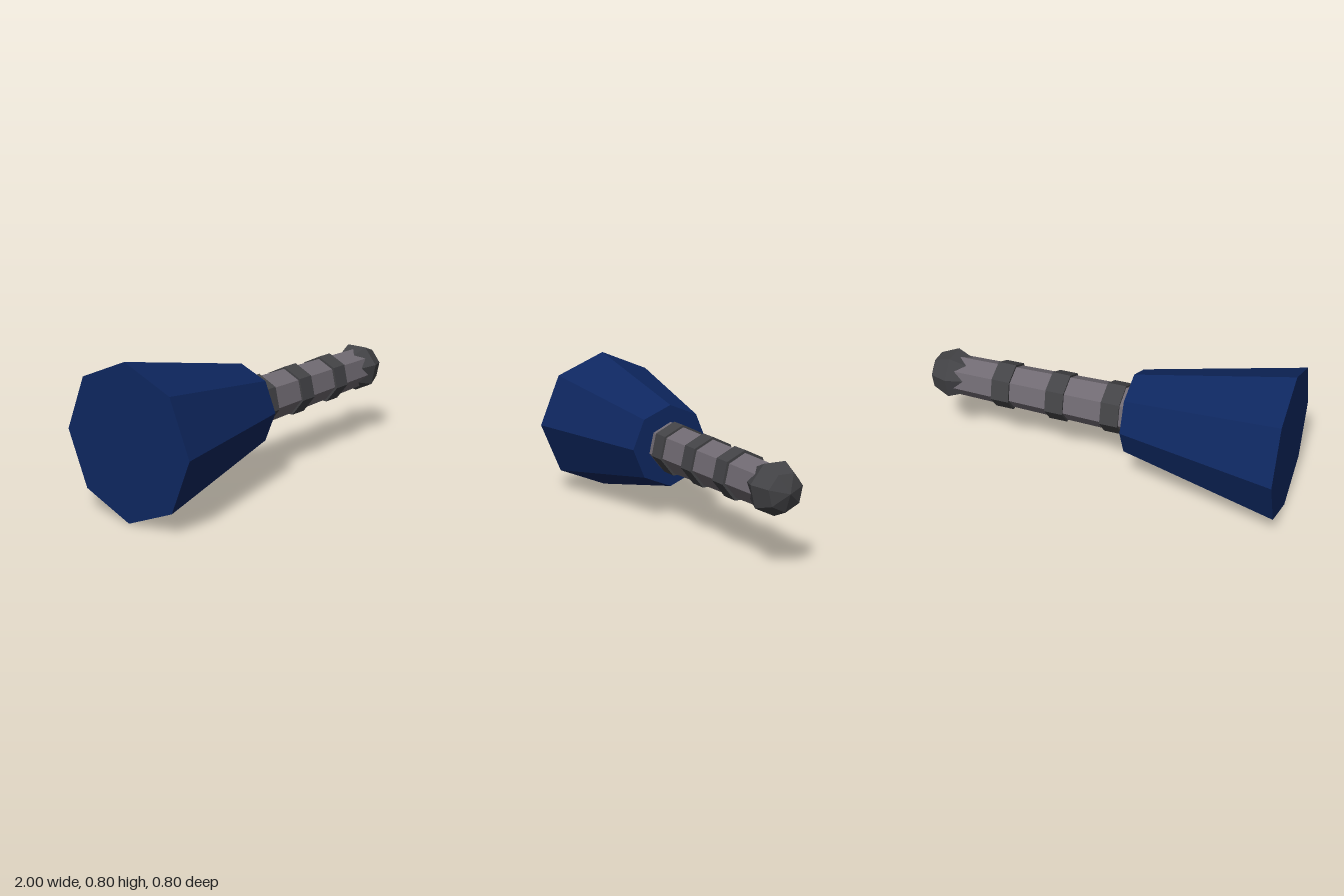
import * as THREE from 'three';

const AXIS_Y = 0.4;
const flat = (name, color) => {
  const m = new THREE.MeshStandardMaterial({ color, flatShading: true });
  m.name = name;
  return m;
};

export function createModel() {
  const blue = flat('navy blue', 0x0e2760);
  const grip = flat('warm grey', 0x706a72);
  const dark = flat('dark grey', 0x434346);
  const group = new THREE.Group();

  const add = (name, geometry, material, x) => {
    const mesh = new THREE.Mesh(geometry, material);
    mesh.name = name;
    mesh.position.set(x, AXIS_Y, 0);
    group.add(mesh);
  };

  // Tapered prism lying along x, with one corner pointing straight up
  const prism = (name, x0, x1, r0, r1, sides, material) => {
    const g = new THREE.CylinderGeometry(r1, r0, x1 - x0, sides);
    g.rotateY(-Math.PI / 2).rotateZ(-Math.PI / 2);
    add(name, g, material, (x0 + x1) / 2);
  };

  // Flared head
  prism('head', -1, -0.163, 0.398, 0.223, 8, blue);

  // Tapered handle, running through the head
  prism('handle', -0.995, 0.86, 0.148, 0.11, 7, grip);

  // Grip bands
  [[-0.07, 0.14], [0.24, 0.135], [0.55, 0.13]].forEach(([x, r], i) =>
    prism(`gripBand${i + 1}`, x - 0.05, x + 0.05, r, r, 7, dark));

  // End knob, with one corner pointing down
  const knob = new THREE.SphereGeometry(0.137, 7, 4);
  knob.rotateY(Math.PI).rotateZ(-Math.PI / 2);
  add('endKnob', knob, dark, 0.863);

  return group;
}
